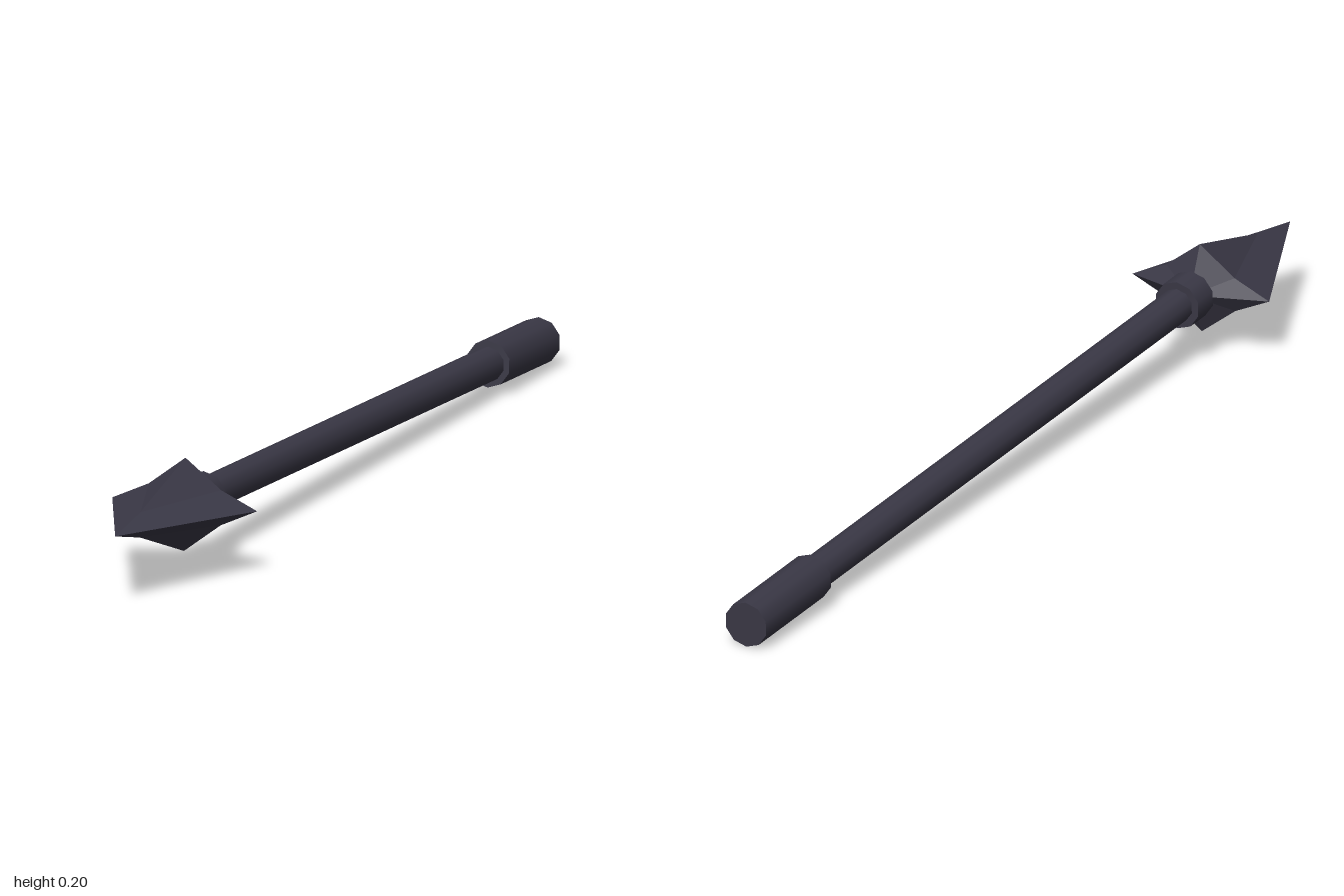
import * as THREE from 'three';

export function createModel() {
  const metal = new THREE.MeshStandardMaterial({ color: 0x3a3846 });
  metal.name = 'dark iron';
  const headMetal = metal.clone();
  headMetal.flatShading = true;

  const spear = new THREE.Group();
  spear.name = 'spear';

  // Ten-sided rod along z, from z0 to z1
  function rod(name, radius, z0, z1) {
    const geo = new THREE.CylinderGeometry(radius, radius, z1 - z0, 10);
    geo.rotateX(Math.PI / 2);
    geo.translate(0, 0, (z0 + z1) / 2);
    const mesh = new THREE.Mesh(geo, metal);
    mesh.name = name;
    spear.add(mesh);
  }
  rod('shaft', 0.0315, -0.8, 0.64);
  rod('grip', 0.043, -0.998, -0.76);
  rod('collar', 0.045, 0.583, 0.637);

  // Spearhead: one quadrant mirrored four ways
  const wing = [0.14, 0, 0.67], shoulder = [0.07, 0.032, 0.67], fin = [0, 0.085, 0.67];
  const finTip = [0, 0.023, 0.88], tip = [0, 0, 0.998], base = [0, 0, 0.63];
  const faces = [
    [tip, wing, shoulder], [tip, shoulder, finTip], [finTip, shoulder, fin],
    [base, shoulder, wing], [base, fin, shoulder],
  ];
  const points = [];
  for (const sx of [1, -1]) {
    for (const sy of [1, -1]) {
      for (const [a, b, c] of faces) {
        const corners = sx * sy > 0 ? [a, b, c] : [a, c, b];
        for (const [x, y, z] of corners) points.push(x * sx, y * sy, z);
      }
    }
  }
  const headGeo = new THREE.BufferGeometry();
  headGeo.setAttribute('position', new THREE.Float32BufferAttribute(points, 3));
  headGeo.computeVertexNormals();
  const head = new THREE.Mesh(headGeo, headMetal);
  head.name = 'spearhead';
  spear.add(head);

  // Lies with the butt down and the point slightly raised
  spear.rotation.x = -0.0435;
  spear.position.y = 0.0872;

  const model = new THREE.Group();
  model.add(spear);
  return model;
}
